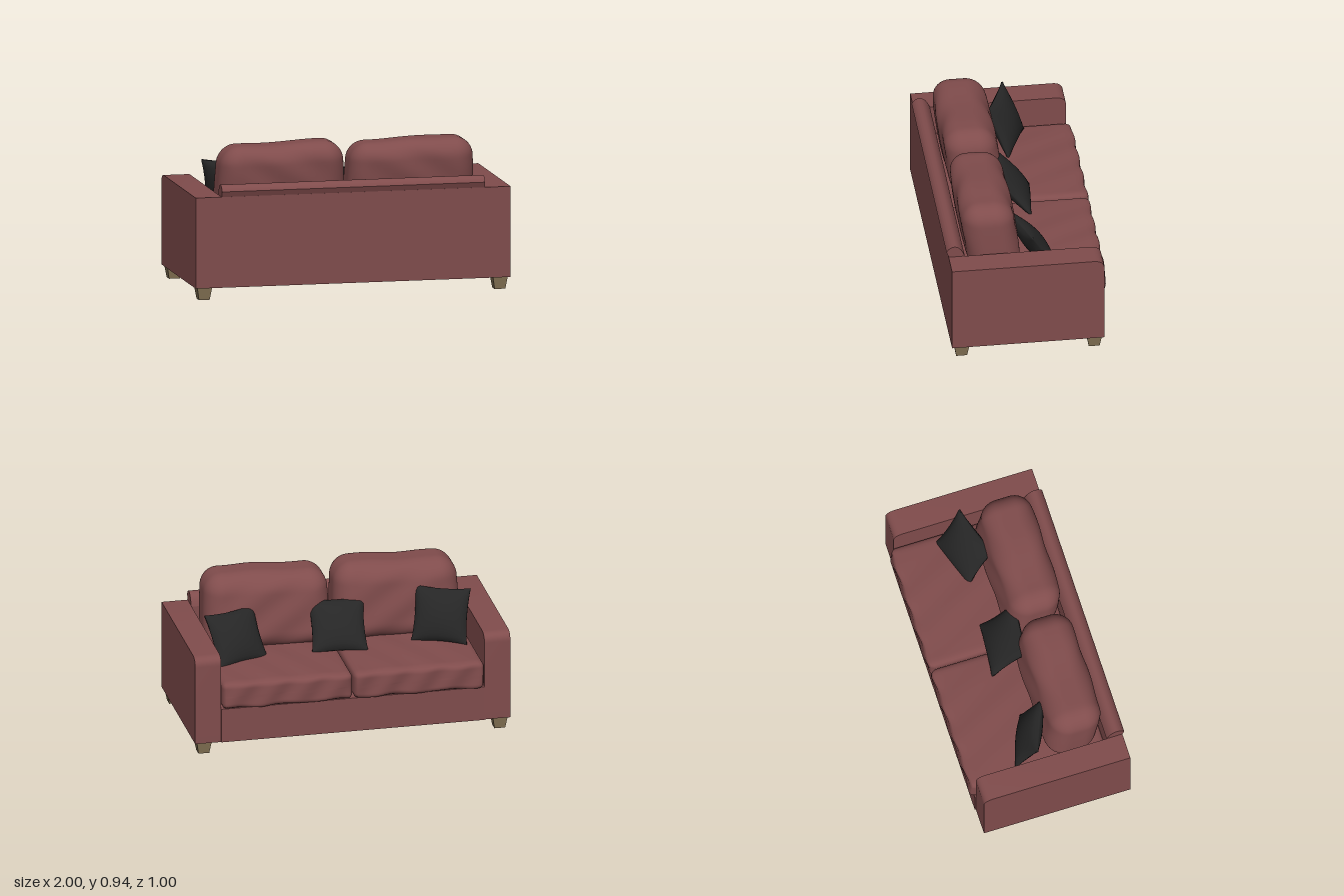
import * as THREE from 'three';
import { mergeVertices, toCreasedNormals } from 'three/addons/utils/BufferGeometryUtils.js';

const fabric = new THREE.MeshStandardMaterial({ color: 0x804c4c });
fabric.name = 'rose fabric';
const black = new THREE.MeshStandardMaterial({ color: 0x262626 });
black.name = 'black fabric';
const wood = new THREE.MeshStandardMaterial({ color: 0x857355 });
wood.name = 'pale wood';

function add(parent, name, geometry, material, x = 0, y = 0, z = 0) {
  const mesh = new THREE.Mesh(geometry, material);
  mesh.name = name;
  mesh.position.set(x, y, z);
  parent.add(mesh);
  return mesh;
}

// Extrude a side profile, drawn in (z, y), along x and centre it
function alongX(shape, width) {
  const g = new THREE.ExtrudeGeometry(shape, { depth: width, bevelEnabled: false, curveSegments: 10 });
  g.translate(0, 0, -width / 2);
  g.rotateY(-Math.PI / 2);
  return toCreasedNormals(g, 0.6);
}

// Move every vertex by a rule, then weld and smooth
function warp(geometry, rule) {
  geometry.deleteAttribute('uv');
  geometry.deleteAttribute('normal');
  const g = mergeVertices(geometry, 1e-5);
  const pos = g.attributes.position;
  const p = new THREE.Vector3();
  for (let i = 0; i < pos.count; i++) {
    p.fromBufferAttribute(pos, i);
    rule(p);
    pos.setXYZ(i, p.x, p.y, p.z);
  }
  g.computeVertexNormals();
  return g;
}

// Soft block with rounded edges and an extra shaping rule
function cushion(w, h, d, r, rule) {
  const half = new THREE.Vector3(w / 2 - r, h / 2 - r, d / 2 - r);
  const low = half.clone().negate();
  return warp(new THREE.BoxGeometry(w, h, d, 44, 28, 28), (p) => {
    const core = p.clone().clamp(low, half);
    p.sub(core).normalize().multiplyScalar(r).add(core);
    rule(p);
  });
}

// Seat cushion: slight crown, diagonal creases on top, puckers on the front
function seatCushion(seed) {
  return cushion(0.825, 0.175, 0.88, 0.035, (p) => {
    const u = p.x / 0.4125, v = p.z / 0.44;
    const front = THREE.MathUtils.smoothstep(-p.z, 0.36, 0.44);
    if (p.y > 0) {
      p.y += 0.012 * (1 - u * u) * (1 - v * v);
      p.y += 0.003 * Math.sin(24 * p.x - 13 * p.z + seed) * (1 - u * u);
    }
    p.z += front * 0.005 * Math.sin(30 * p.x + 22 * p.y + seed);
    if (p.y < 0) p.y += front * 0.006 * Math.sin(19 * p.x + seed);
  });
}

// Back cushion: leans back, swells behind, top rises towards +x
function backCushion(seed) {
  return cushion(0.79, 0.48, 0.32, 0.115, (p) => {
    const u = p.x / 0.395, t = p.y / 0.48 + 0.5;
    p.x *= 1.02 - 0.05 * t * t;
    p.z += -0.055 + 0.09 * t - 0.025 * t * t;
    p.z += (p.z > 0 ? 0.012 : -0.012) * (1 - u * u) * Math.sin(Math.PI * t);
    p.z += 0.005 * Math.sin(17 * p.x + 25 * p.y + seed) * (1 - u * u);
    p.y += t * (0.012 * u + 0.004 * Math.sin(13 * p.x + seed));
  });
}

// Throw pillow: thin seam, full middle, hollow edges and pointed corners
function pillowGeometry() {
  const half = 0.175;
  return warp(new THREE.BoxGeometry(2, 2, 2, 20, 20, 2), (p) => {
    const u = p.x, v = p.y;
    const full = Math.pow(Math.max(0, (1 - u * u) * (1 - v * v)), 0.6);
    p.set(
      half * u * (1 - 0.07 * (1 - v * v)),
      half * v * (1 - 0.07 * (1 - u * u)),
      p.z * (0.006 + 0.056 * full)
    );
  });
}

export function createModel() {
  const sofa = new THREE.Group();
  sofa.name = 'sofa';

  // Arms with a rounded upper front edge
  const armShape = new THREE.Shape();
  armShape.moveTo(-0.465, 0.077);
  armShape.lineTo(0.487, 0.077);
  armShape.lineTo(0.487, 0.646);
  armShape.lineTo(-0.405, 0.646);
  armShape.quadraticCurveTo(-0.465, 0.642, -0.465, 0.586);
  armShape.closePath();
  const armGeometry = alongX(armShape, 0.165);

  // Tapered square feet
  const foot = new THREE.CylinderGeometry(0.047 * Math.SQRT2, 0.034 * Math.SQRT2, 0.078, 4)
    .rotateY(Math.PI / 4).toNonIndexed();
  foot.computeVertexNormals();

  for (const [side, s] of [['left', 1], ['right', -1]]) {
    add(sofa, side + 'Arm', armGeometry, fabric, s * 0.9175);
    add(sofa, side + 'RearFoot', foot, wood, s * 0.939, 0.039, 0.424);
    add(sofa, side + 'FrontFoot', foot, wood, s * 0.939, 0.039, -0.404);
    add(sofa, side + 'SeatCushion', seatCushion(s * 1.3), fabric, s * 0.417, 0.382, -0.055);
    add(sofa, side + 'BackCushion', backCushion(s), fabric, s * 0.411 + 0.003, 0.692, 0.225);
  }

  // Base and back panel between the arms
  add(sofa, 'base', new THREE.BoxGeometry(1.67, 0.221, 0.88), fabric, 0, 0.1875, -0.032);
  add(sofa, 'backPanel', new THREE.BoxGeometry(1.67, 0.569, 0.097), fabric, 0, 0.3615, 0.4385);

  // Padded roll on top of the back, overhanging behind
  const roll = new THREE.Shape();
  roll.moveTo(0.385, 0.64);
  roll.lineTo(0.484, 0.64);
  roll.lineTo(0.5, 0.68);
  roll.bezierCurveTo(0.493, 0.7, 0.475, 0.718, 0.45, 0.718);
  roll.bezierCurveTo(0.422, 0.716, 0.4, 0.69, 0.385, 0.64);
  add(sofa, 'backRoll', alongX(roll, 1.67), fabric);

  // Throw pillows: position, turn, lean
  const pillow = pillowGeometry();
  const places = [
    ['leftPillow', 0.65, 0.6, -0.065, 0.33, 0.55],
    ['centrePillow', -0.005, 0.605, -0.02, -0.09, 0.68],
    ['rightPillow', -0.65, 0.632, -0.06, -0.4, 0.4],
  ];
  for (const [name, x, y, z, turn, lean] of places) {
    add(sofa, name, pillow, black, x, y, z).rotation.set(lean, turn, 0, 'YXZ');
  }
  return sofa;
}
